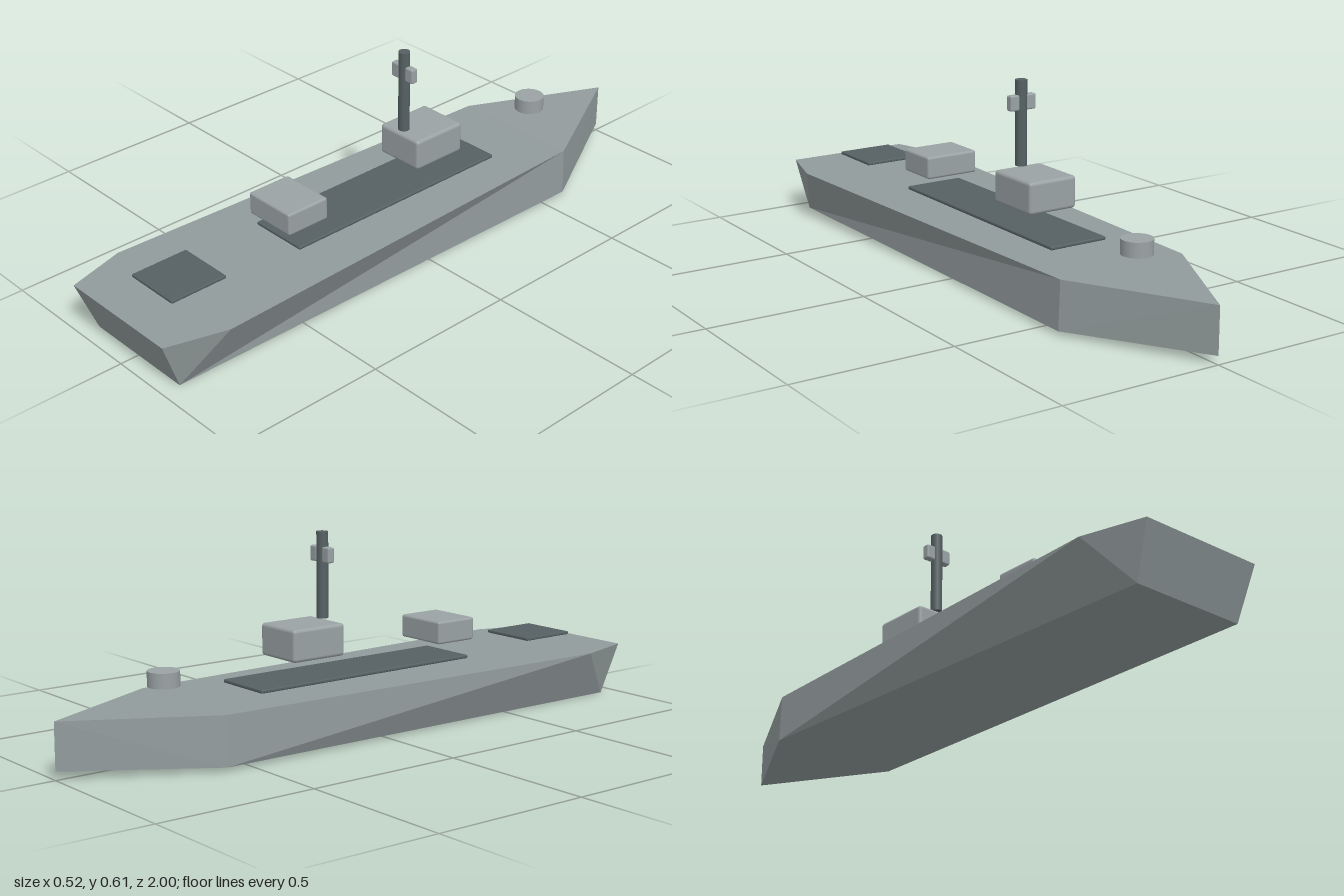
import * as THREE from 'three';
import { RoundedBoxGeometry } from 'three/addons/geometries/RoundedBoxGeometry.js';

const hullGray = new THREE.MeshStandardMaterial({ color: 0x929b9c, flatShading: true });
hullGray.name = 'hull gray';
const lightGray = new THREE.MeshStandardMaterial({ color: 0x9aa2a4 });
lightGray.name = 'light gray';
const darkGray = new THREE.MeshStandardMaterial({ color: 0x566163 });
darkGray.name = 'dark slate';

function add(group, name, geometry, material, x, y, z) {
  const mesh = new THREE.Mesh(geometry, material);
  mesh.name = name;
  mesh.position.set(x, y, z);
  group.add(mesh);
  return mesh;
}

// Rounded block given by its extents
function block(group, name, material, [x0, x1], [y0, y1], [z0, z1], r) {
  return add(group, name, new RoundedBoxGeometry(x1 - x0, y1 - y0, z1 - z0, 2, r),
    material, (x0 + x1) / 2, (y0 + y1) / 2, (z0 + z1) / 2);
}

// Faceted hull: seven deck corners above five keel corners
function hullGeometry() {
  const points = [
    // deck, from the bow round the +x side to the stern and back
    [0, 0.165, -1], [0.213, 0.16, -0.585], [0.262, 0.16, 0.81], [0.207, 0.16, 1],
    [-0.207, 0.16, 1], [-0.262, 0.16, 0.81], [-0.213, 0.16, -0.585],
    // keel, in the same order
    [0, 0.025, -1], [0.218, 0.012, -0.585], [0.19, 0, 0.94],
    [-0.19, 0, 0.94], [-0.218, 0.012, -0.585],
  ];
  const faces = [
    [0, 6, 1], [1, 6, 5], [1, 5, 2], [2, 5, 4], [2, 4, 3], // deck
    [7, 8, 11], [8, 9, 10], [8, 10, 11],                   // bottom
    [4, 10, 9], [4, 9, 3],                                 // transom
    [2, 3, 9], [1, 2, 9], [1, 9, 8], [0, 1, 8], [0, 8, 7], // +x side
    [5, 10, 4], [5, 11, 10], [6, 11, 5], [0, 11, 6], [0, 7, 11], // -x side
  ];
  const geometry = new THREE.BufferGeometry();
  geometry.setAttribute('position',
    new THREE.Float32BufferAttribute(faces.flat().flatMap((i) => points[i]), 3));
  geometry.computeVertexNormals();
  return geometry;
}

export function createModel() {
  const ship = new THREE.Group();
  ship.name = 'ship';

  add(ship, 'hull', hullGeometry(), hullGray, 0, 0, 0);

  // Dark deck panels
  block(ship, 'longDeckPanel', darkGray, [-0.097, 0.097], [0.168, 0.179], [-0.378, 0.425], 0.004);
  block(ship, 'sternDeckPanel', darkGray, [-0.093, 0.093], [0.189, 0.199], [0.69, 0.88], 0.003);

  // Superstructure
  block(ship, 'bridge', lightGray, [-0.083, 0.083], [0.237, 0.336], [-0.25, -0.06], 0.011);
  block(ship, 'aftDeckhouse', lightGray, [-0.09, 0.09], [0.224, 0.296], [0.308, 0.456], 0.008);

  // Mast with a sensor box on each side
  add(ship, 'mast', new THREE.CylinderGeometry(0.018, 0.018, 0.262, 12), darkGray, 0, 0.474, -0.081);
  for (const side of [-1, 1]) {
    const box = block(ship, 'mastSensor', lightGray, [0.013, 0.045], [0.513, 0.56], [-0.094, -0.07], 0.005);
    box.position.x *= side;
  }

  // Gun base on the foredeck
  add(ship, 'foredeckTurret', new THREE.CylinderGeometry(0.047, 0.047, 0.045, 24), lightGray, 0, 0.236, -0.648);

  return ship;
}
